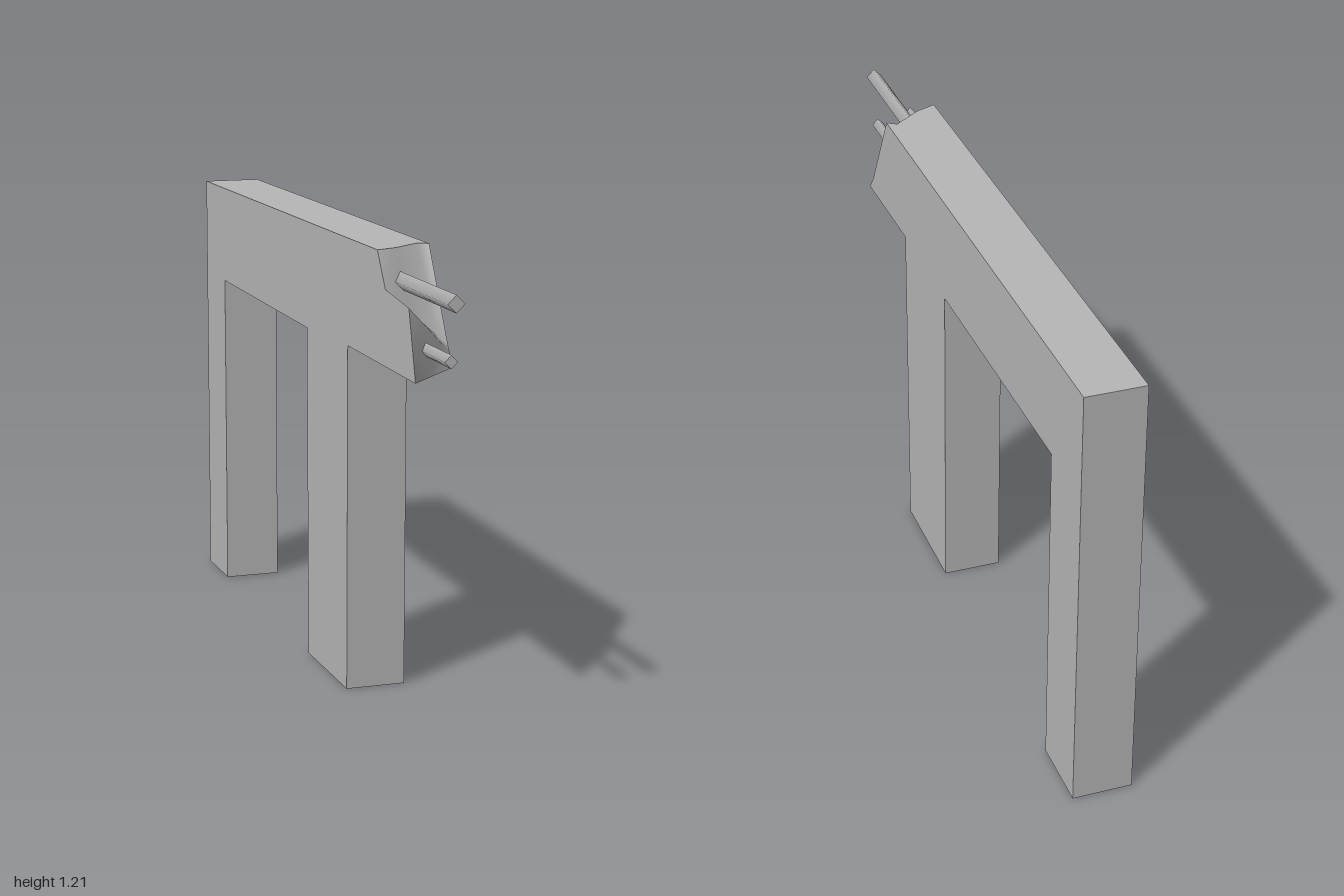
import * as THREE from 'three';

export function createModel() {
  const group = new THREE.Group();
  group.name = 'brokenConcreteFrame';
  const concrete = new THREE.MeshStandardMaterial({ color: 0xb8b8b8, side: THREE.DoubleSide });
  concrete.name = 'concrete grey';
  const W = 0.081; // half width

  const add = (name, geometry) => {
    const mesh = new THREE.Mesh(geometry, concrete);
    mesh.name = name;
    group.add(mesh);
    return mesh;
  };

  // Surface through rows of [x, y, z] points
  const patch = (name, rows) => {
    const n = rows[0].length, index = [];
    for (let r = 0; r < rows.length - 1; r++) {
      for (let c = 0; c < n - 1; c++) {
        const a = r * n + c, b = a + n;
        index.push(a, b, a + 1, b, b + 1, a + 1);
      }
    }
    const g = new THREE.BufferGeometry();
    g.setAttribute('position', new THREE.Float32BufferAttribute(rows.flat(2), 3));
    g.setIndex(index);
    g.computeVertexNormals();
    return add(name, g);
  };

  // Outline shared by both sides, as [z, y], from beam underside to the rear top
  const outline = [
    [0.37, 0.93], [0.365, 0], [0.03, 0], [0.02, 0.92],
    [-0.8, 0.93], [-0.8, 0], [-1, 0], [-1, 1.21],
  ];
  // Broken end on each side, top to bottom, as [z, y]
  const rightBreak = [[0.6, 1.21], [0.66, 1.12], [0.83, 1.1], [0.88, 0.925]];
  const leftBreak = [[0.53, 1.21], [0.67, 0.975], [0.68, 0.96], [0.71, 0.925]];

  // Side walls
  for (const [name, s, edge] of [['rightWall', -1, rightBreak], ['leftWall', 1, leftBreak]]) {
    const points = [...outline, ...edge].map(([z, y]) => new THREE.Vector2(-s * z, y));
    const g = new THREE.ShapeGeometry(new THREE.Shape(points));
    g.rotateY(s * Math.PI / 2).translate(s * W, 0, 0);
    add(name, g);
  }

  // Leg faces, beam underside and rear face; the leg bottoms stay open
  const names = ['frontLegFront', '', 'frontLegBack', 'beamUnderside', 'rearLegFront', '', 'rearFace'];
  names.forEach((name, i) => {
    if (!name) return;
    const across = ([z, y]) => [[W, y, z], [-W, y, z]];
    patch(name, [across(outline[i]), across(outline[i + 1])]);
  });

  // Jagged broken face, slightly hollowed near the left edge
  const hollow = [0.028, 0.008, 0.005, 0];
  const breakRows = rightBreak.map(([z, y], i) => {
    const [z2, y2] = leftBreak[i];
    return [0, 0.34, 0.84, 1].map((t) => [
      -W + 2 * W * t,
      y + (y2 - y) * t,
      z + (z2 - z) * t - (t === 0.84 ? hollow[i] : 0),
    ]);
  });
  patch('brokenFace', [...breakRows].map((row) => row));

  // Top and overhang underside follow the broken edge
  const top = breakRows[0], bottom = breakRows[3];
  patch('beamTop', [top.map(([x]) => [x, 1.21, -1]), top]);
  patch('overhangUnderside', [bottom, bottom.map(([x]) => [x, 0.93, 0.37])]);

  // Exposed reinforcing bars
  for (const [name, radius, y, back, front] of [
    ['upperBar', 0.022, 1.133, 0.6, 1],
    ['lowerBar', 0.017, 0.99, 0.76, 0.97],
  ]) {
    const bar = add(name, new THREE.CylinderGeometry(radius, radius, front - back, 4).rotateX(Math.PI / 2));
    bar.position.set(-0.024, y, (front + back) / 2);
  }
  return group;
}
